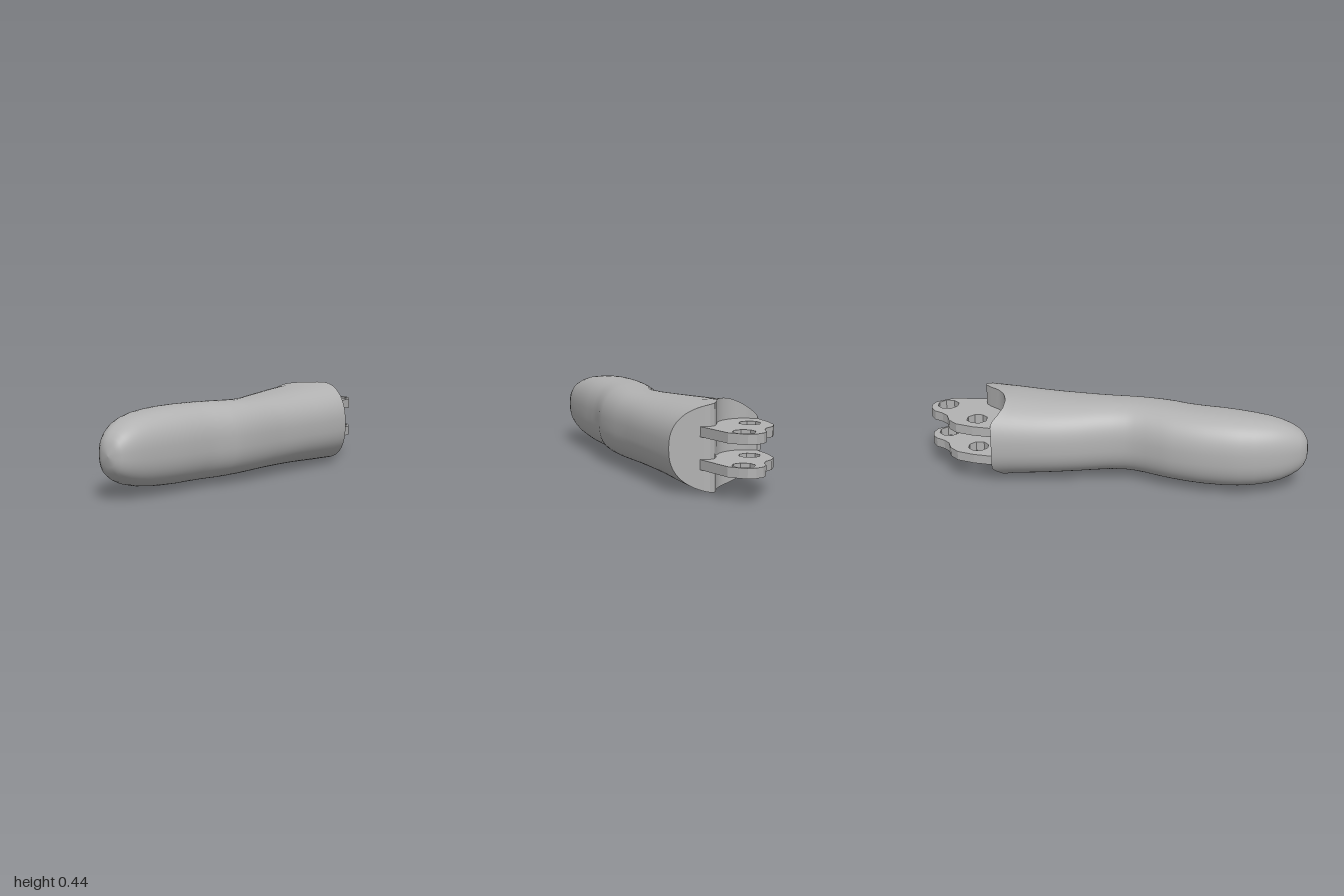
import * as THREE from 'three';
import { toCreasedNormals } from 'three/addons/utils/BufferGeometryUtils.js';

const N = 64;        // points around the finger
const MID = 0.222;   // height of the symmetry plane

// cross-sections from back to tip: z, left x, right x, half height
const sections = [
  [-0.65, -0.23, 0.30, 0.222], [-0.54, -0.23, 0.29, 0.212], [-0.4, -0.224, 0.266, 0.204],
  [-0.3, -0.212, 0.25, 0.199], [-0.2, -0.195, 0.235, 0.195], [-0.1, -0.172, 0.218, 0.192],
  [-0.03, -0.158, 0.209, 0.19], [0.05, -0.155, 0.2, 0.19], [0.1, -0.164, 0.194, 0.191],
  [0.16, -0.185, 0.185, 0.193], [0.24, -0.222, 0.17, 0.195], [0.3, -0.245, 0.152, 0.196],
  [0.38, -0.267, 0.117, 0.196], [0.46, -0.284, 0.095, 0.196], [0.56, -0.297, 0.077, 0.195],
  [0.64, -0.3, 0.06, 0.191], [0.72, -0.293, 0.04, 0.184], [0.8, -0.275, 0.02, 0.172],
  [0.86, -0.255, 0.003, 0.156], [0.91, -0.232, -0.013, 0.135], [0.95, -0.208, -0.032, 0.111],
  [0.975, -0.186, -0.05, 0.086], [0.992, -0.158, -0.072, 0.053], [1, -0.115, -0.115, 0],
];

// knuckle cut seen from above: scooped on one side, bevelled on the other
const rearEdge = [
  [-0.23, -0.64], [-0.2, -0.645], [-0.17, -0.612], [-0.13, -0.587], [-0.08, -0.58], [-0.02, -0.592],
  [0.03, -0.625], [0.08, -0.688], [0.105, -0.708], [0.13, -0.712], [0.17, -0.692], [0.3, -0.605],
];
function rearZ(x) {
  for (let i = 1; i < rearEdge.length; i++) {
    const [x0, z0] = rearEdge[i - 1], [x1, z1] = rearEdge[i];
    if (x <= x1) return z0 + (z1 - z0) * (x - x0) / (x1 - x0);
  }
  return rearEdge[rearEdge.length - 1][1];
}

// rounded-box style ring
function ring([z, xl, xr, h], isRear) {
  const pts = [], n = 2 / 2.45;
  const sp = (v) => Math.sign(v) * Math.pow(Math.abs(v), n);
  for (let i = 0; i < N; i++) {
    const t = i / N * Math.PI * 2;
    const x = (xl + xr) / 2 + (xr - xl) / 2 * sp(Math.cos(t));
    pts.push([x, MID + h * sp(Math.sin(t)), isRear ? rearZ(x) : z]);
  }
  return pts;
}

function geometryFrom(points, index) {
  const g = new THREE.BufferGeometry();
  g.setAttribute('position', new THREE.Float32BufferAttribute(points.flat(), 3));
  g.setIndex(index);
  g.computeVertexNormals();
  return g;
}

function fingerSkin() {
  const pts = sections.flatMap((s, j) => ring(s, j === 0));
  const idx = [];
  for (let j = 0; j < sections.length - 1; j++) {
    for (let i = 0; i < N; i++) {
      const a = j * N + i, b = j * N + (i + 1) % N;
      idx.push(a, b, a + N);
      if (j < sections.length - 2) idx.push(b, b + N, a + N);
    }
  }
  return geometryFrom(pts, idx);
}

// vertical strips between the upper and lower rim
function knuckleFace() {
  const idx = [];
  for (let i = 0; i < N / 2; i++) {
    const low = (N - i) % N, low2 = N - i - 1;
    if (i > 0) idx.push(i, low, i + 1);
    if (i < N / 2 - 1) idx.push(i + 1, low, low2);
  }
  return toCreasedNormals(geometryFrom(ring(sections[0], true), idx), 0.45);
}

// flat hinge plate with two octagonal pin holes
function hingePlate() {
  const outline = [
    [-0.19, -0.6], [-0.205, -0.645], [-0.19, -0.74], [-0.16, -0.83], [-0.115, -0.875],
    [-0.06, -0.895], [-0.03, -0.925], [-0.005, -0.97], [0.03, -0.995], [0.075, -1],
    [0.115, -0.985], [0.14, -0.95], [0.168, -0.9], [0.175, -0.68], [0.1, -0.62], [-0.1, -0.55],
  ];
  const shape = new THREE.Shape(outline.map(([x, z]) => new THREE.Vector2(x, z)));
  for (const [cx, cz, r] of [[-0.09, -0.73, 0.055], [0.085, -0.915, 0.057]]) {
    const hole = [];
    for (let i = 0; i < 8; i++) {
      const t = -(i + 0.5) / 8 * Math.PI * 2;
      hole.push(new THREE.Vector2(cx + r * Math.cos(t), cz + r * Math.sin(t)));
    }
    shape.holes.push(new THREE.Path(hole));
  }
  return new THREE.ExtrudeGeometry(shape, { depth: 0.05, bevelEnabled: false }).rotateX(Math.PI / 2);
}

export function createModel() {
  const grey = new THREE.MeshStandardMaterial({ color: 0xb2b2b2 });
  grey.name = 'plain grey';
  const model = new THREE.Group();
  model.name = 'hingedFinger';
  const add = (name, geometry, y = 0) => {
    const mesh = new THREE.Mesh(geometry, grey);
    mesh.name = name;
    mesh.position.y = y;
    model.add(mesh);
  };
  add('fingerBody', fingerSkin());
  add('knuckleFace', knuckleFace());
  const plate = hingePlate();
  add('upperHingePlate', plate, 0.33);
  add('lowerHingePlate', plate, 0.17);
  return model;
}
